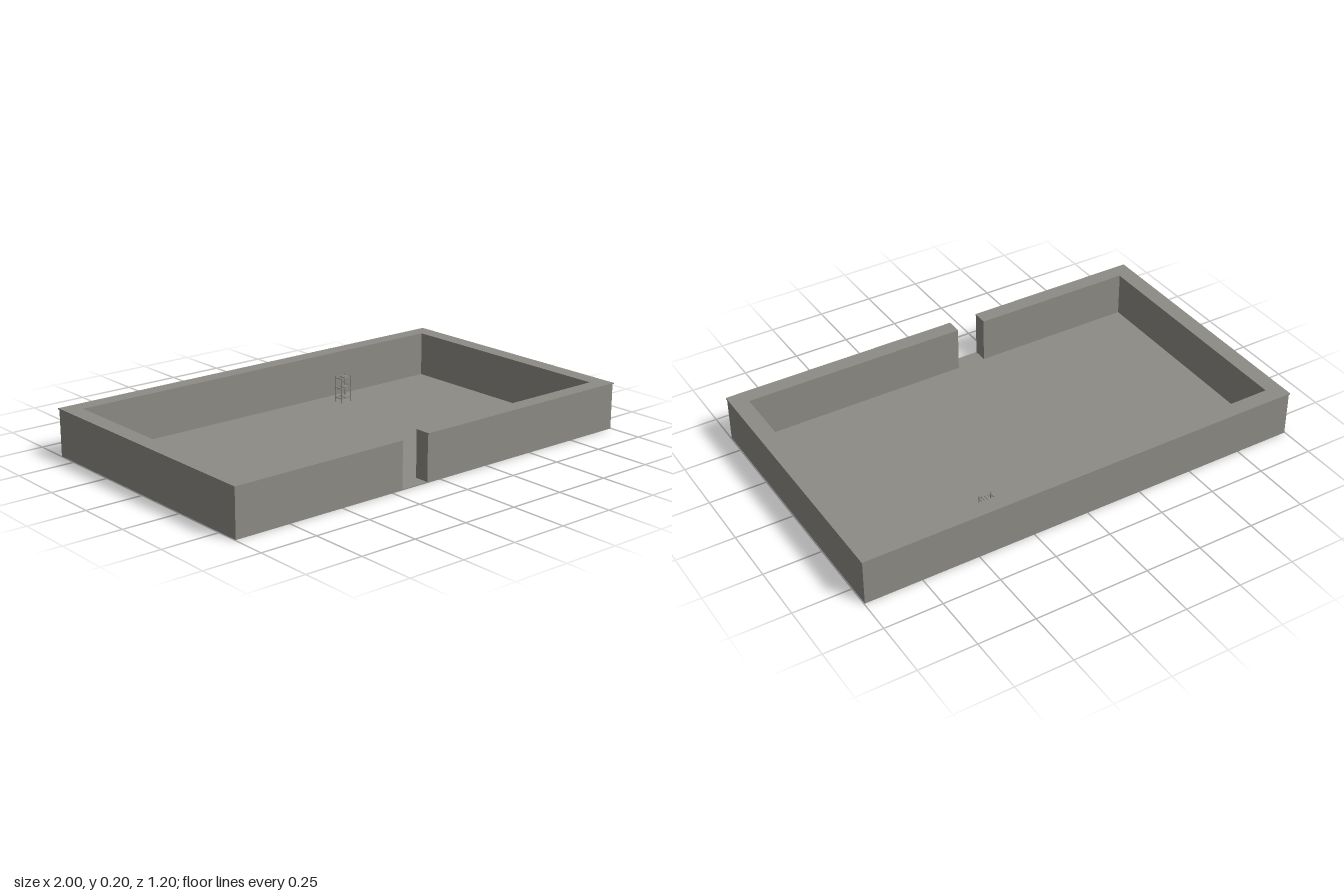
import * as THREE from 'three';

export function createModel() {
  const model = new THREE.Group();
  model.name = 'walledYard';
  const stone = new THREE.MeshStandardMaterial({ color: 0x8d8b85 });
  stone.name = 'warm grey stone';

  const add = (parent, name, geometry, x = 0, y = 0, z = 0) => {
    const mesh = new THREE.Mesh(geometry, stone);
    mesh.name = name;
    mesh.position.set(x, y, z);
    parent.add(mesh);
    return mesh;
  };
  const box = (parent, name, w, h, d, x, y, z) =>
    add(parent, name, new THREE.BoxGeometry(w, h, d), x, y, z);

  // Wall ring with a gateway in the front, extruded upwards
  const ring = (name, X, Z, ix, iz, y, height) => {
    const g0 = -0.2, g1 = -0.07;
    const shape = new THREE.Shape([
      [g1, -Z], [X, -Z], [X, Z], [-X, Z], [-X, -Z], [g0, -Z],
      [g0, -iz], [-ix, -iz], [-ix, iz], [ix, iz], [ix, -iz], [g1, -iz],
    ].map(([x, v]) => new THREE.Vector2(x, v)));
    const geometry = new THREE.ExtrudeGeometry(shape, { depth: height, bevelEnabled: false });
    geometry.rotateX(-Math.PI / 2);
    add(model, name, geometry, 0, y, 0);
  };

  const floorTop = 0.004;
  box(model, 'floor', 1.994, floorTop, 1.194, 0, floorTop / 2, 0);
  ring('walls', 0.997, 0.597, 0.93, 0.532, floorTop, 0.196);
  ring('coping', 1, 0.601, 0.927, 0.53, 0.2, 0.005);

  // Small scaffold tower near the back wall
  const tower = new THREE.Group();
  tower.name = 'scaffoldTower';
  tower.position.set(0.364, floorTop, -0.434);
  model.add(tower);
  const w = 0.053, d = 0.04, h = 0.12, t = 0.004;
  for (const sx of [-1, 1]) {
    for (const sz of [-1, 1]) {
      box(tower, 'post', t, h, t, sx * w / 2, h / 2, sz * d / 2);
    }
  }
  const levels = [0.02, 0.066, 0.112];
  for (const y of levels) {
    for (const s of [-1, 1]) {
      box(tower, 'longRail', w, t * 0.8, t * 0.8, 0, y, s * d / 2);
      box(tower, 'crossRail', t * 0.8, t * 0.8, d, s * w / 2, y, 0);
    }
    // Two deck planks on each level
    for (const x of [0, 0.013]) box(tower, 'plank', 0.011, 0.003, d, x, y + 0.003, 0);
  }

  // Diagonal braces on the front and back of each bay
  for (let i = 0; i < 2; i++) {
    const rise = levels[i + 1] - levels[i];
    for (const s of [-1, 1]) {
      const brace = box(tower, 'brace', Math.hypot(w, rise), 0.0025, 0.0025,
        0, levels[i] + rise / 2, s * d / 2);
      brace.rotation.z = s * (i ? -1 : 1) * Math.atan2(rise, w);
    }
  }
  return model;
}
